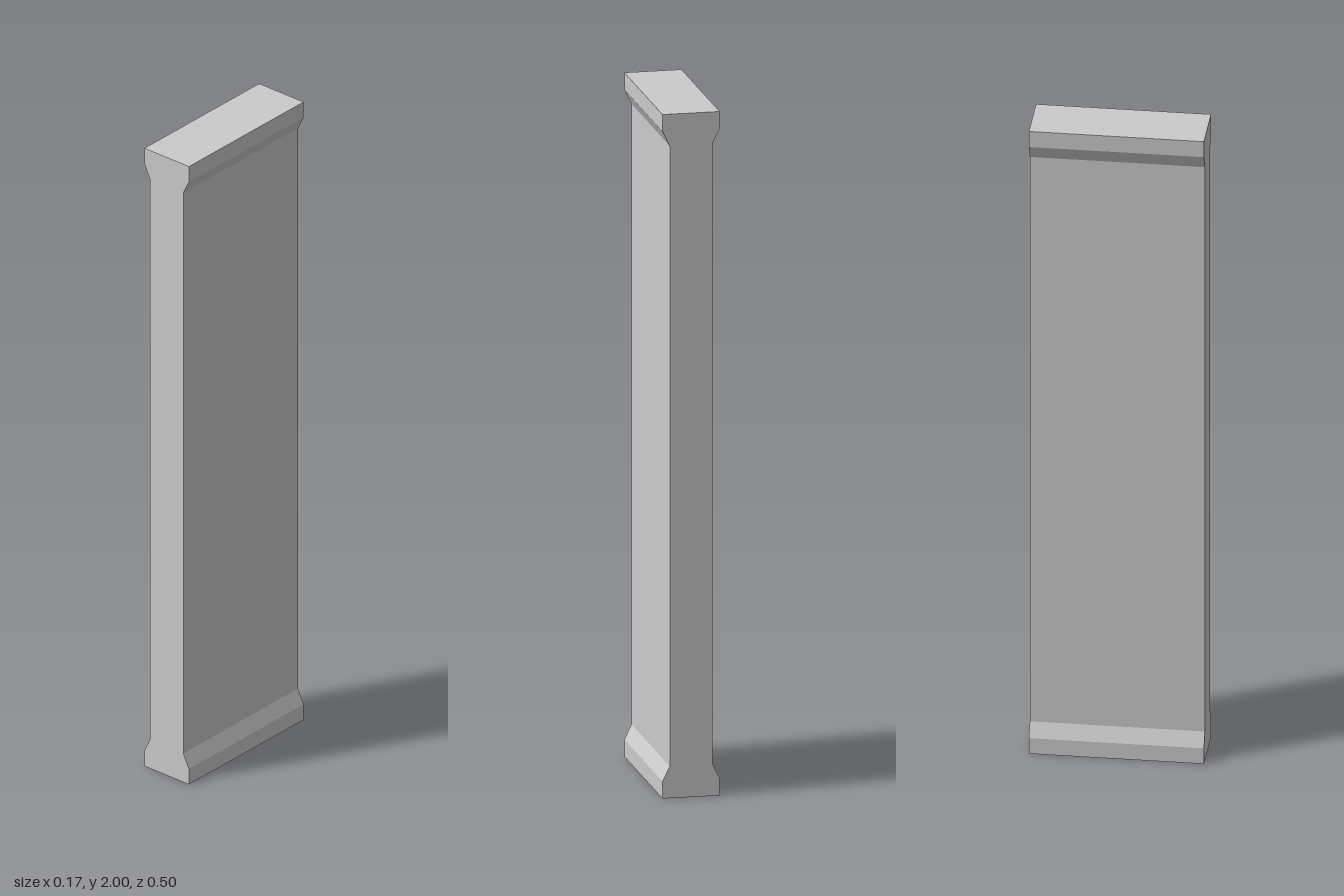
import * as THREE from 'three';

const DEPTH = 0.5;        // along z
const FLANGE = 0.083;     // half width of the end flanges
const WEB = 0.062;        // half width of the wall between them
const LIP = 0.05;         // height of the vertical flange edge
const TAPER = 0.093;      // height where the slope meets the wall
const HEIGHT = 2;

export function createModel() {
  // Right-hand half of the section from bottom to top, mirrored for the left
  const right = [
    [FLANGE, 0], [FLANGE, LIP], [WEB, TAPER],
    [WEB, HEIGHT - TAPER], [FLANGE, HEIGHT - LIP], [FLANGE, HEIGHT],
  ];
  const left = right.map(([x, y]) => [-x, y]).reverse();
  const section = new THREE.Shape([...right, ...left].map(([x, y]) => new THREE.Vector2(x, y)));

  // Section swept from back to front
  const geometry = new THREE.ExtrudeGeometry(section, { depth: DEPTH, bevelEnabled: false });
  geometry.translate(0, 0, -DEPTH / 2);

  const panel = new THREE.Mesh(
    geometry,
    new THREE.MeshStandardMaterial({ color: 0xcccccc, flatShading: true })
  );
  panel.name = 'flangedWallPanel';

  const model = new THREE.Group();
  model.name = 'wallPanel';
  model.add(panel);
  return model;
}
